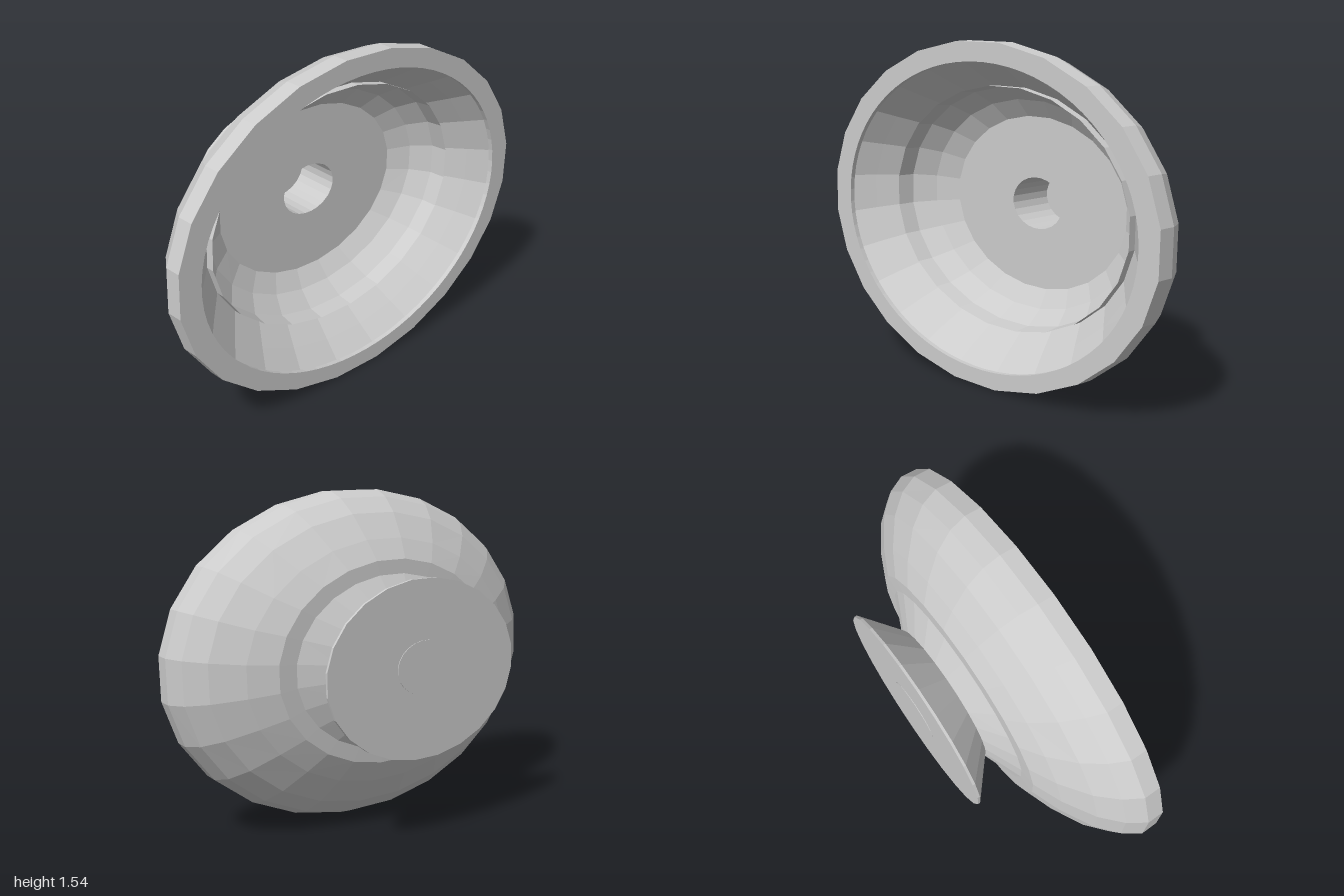
import * as THREE from 'three';

const SIDES = 24;
const PHASE = 0.43; // slight turn of the facets about the axis
const material = new THREE.MeshStandardMaterial({ color: 0xcccccc, flatShading: true });

// The whole dish leans very slightly: z grows with x.
const lean = (x) => 0.0125 * x;

// Point on an oval section [rx, ry, z, cx, cy].
function ovalPoint([rx, ry, z, cx, cy], i, sides) {
  const a = ((i + PHASE) / sides) * Math.PI * 2;
  const x = cx + rx * Math.cos(a);
  return [x, cy + ry * Math.sin(a), z + lean(x)];
}

// Skin a row of oval sections; "inward" turns the faces toward the axis.
function loft(name, sections, { inward = false, sides = SIDES } = {}) {
  const pos = [];
  for (let s = 0; s < sections.length - 1; s++) {
    for (let i = 0; i < sides; i++) {
      const a = ovalPoint(sections[s], i, sides);
      const b = ovalPoint(sections[s], i + 1, sides);
      const c = ovalPoint(sections[s + 1], i, sides);
      const d = ovalPoint(sections[s + 1], i + 1, sides);
      const quad = inward ? [a, b, c, b, d, c] : [a, c, b, b, c, d];
      quad.forEach((p) => pos.push(...p));
    }
  }
  const geo = new THREE.BufferGeometry();
  geo.setAttribute('position', new THREE.Float32BufferAttribute(pos, 3));
  geo.computeVertexNormals();
  const mesh = new THREE.Mesh(geo, material);
  mesh.name = name;
  return mesh;
}

// Flat front rim: faceted outside edge, smooth oval opening.
function makeRim(outer, inner) {
  const outline = (section, sides) =>
    Array.from({ length: sides }, (_, i) => {
      const [x, y] = ovalPoint(section, i, sides);
      return new THREE.Vector2(x, y);
    });
  const shape = new THREE.Shape(outline(outer, SIDES));
  shape.holes.push(new THREE.Path(outline(inner, 72)));
  const geo = new THREE.ShapeGeometry(shape);
  const p = geo.attributes.position;
  for (let i = 0; i < p.count; i++) p.setZ(i, outer[2] + lean(p.getX(i)));
  geo.computeVertexNormals();
  const mesh = new THREE.Mesh(geo, material);
  mesh.name = 'frontRim';
  return mesh;
}

export function createModel() {
  const group = new THREE.Group();
  group.name = 'ovalDish';

  const rimOuter = [1.001, 0.773, 0.302, -0.003, 0.771];
  const rimInner = [0.89, 0.688, 0.302, 0, 0.766];
  group.add(makeRim(rimOuter, rimInner));

  // Smooth lip just inside the rim
  group.add(loft('lip', [rimInner, [0.89, 0.688, 0.28, 0, 0.766]], { inward: true, sides: 72 }));

  // Rounded back of the bowl, ending in a narrow flat step
  group.add(loft('bowlOutside', [
    rimOuter,
    [1.005, 0.775, 0.224, 0, 0.771],
    [0.96, 0.745, 0.144, 0.01, 0.771],
    [0.875, 0.675, 0.06, 0.018, 0.773],
    [0.735, 0.56, -0.025, 0.025, 0.776],
    [0.605, 0.465, -0.081, 0.03, 0.78],
    [0.52, 0.398, -0.084, 0.03, 0.782],
  ]));

  // Waisted neck flaring out to the closed foot
  group.add(loft('neckAndFoot', [
    [0.52, 0.398, -0.084, 0.03, 0.782],
    [0.345, 0.272, -0.158, 0.031, 0.781],
    [0.518, 0.402, -0.302, 0.035, 0.78],
    [0.518, 0.402, -0.314, 0.035, 0.78],
    [0, 0, -0.314, 0.035, 0.78],
  ]));

  // Sloping inside of the bowl, meeting the collar behind its front edge
  const collarEdge = [0.722, 0.556, 0.14, 0.007, 0.787];
  const collarBase = [0.722, 0.556, 0.1, 0.007, 0.787];
  group.add(loft('bowlInside', [
    [0.9, 0.694, 0.282, 0, 0.766],
    [0.82, 0.63, 0.2, 0.002, 0.776],
    collarBase,
  ], { inward: true }));

  // Low collar standing forward around the well
  group.add(loft('collar', [collarEdge, collarBase]));

  // Deeper well with a flat floor
  const holeEdge = [0.153, 0.121, -0.078, 0.022, 0.79];
  group.add(loft('well', [
    collarEdge,
    [0.712, 0.548, 0.06, 0.012, 0.788],
    [0.632, 0.485, -0.022, 0.018, 0.79],
    [0.525, 0.404, -0.078, 0.022, 0.791],
    holeEdge,
  ], { inward: true }));

  // Round socket sunk into the floor
  group.add(loft('socket', [
    holeEdge,
    [0.153, 0.121, -0.305, 0.033, 0.79],
    [0, 0, -0.305, 0.033, 0.79],
  ], { inward: true }));

  // Shallow round plug on the back of the foot
  group.add(loft('backPlug', [
    [0.153, 0.121, -0.31, 0.035, 0.79],
    [0.153, 0.121, -0.317, 0.035, 0.79],
    [0, 0, -0.317, 0.035, 0.79],
  ]));

  return group;
}
